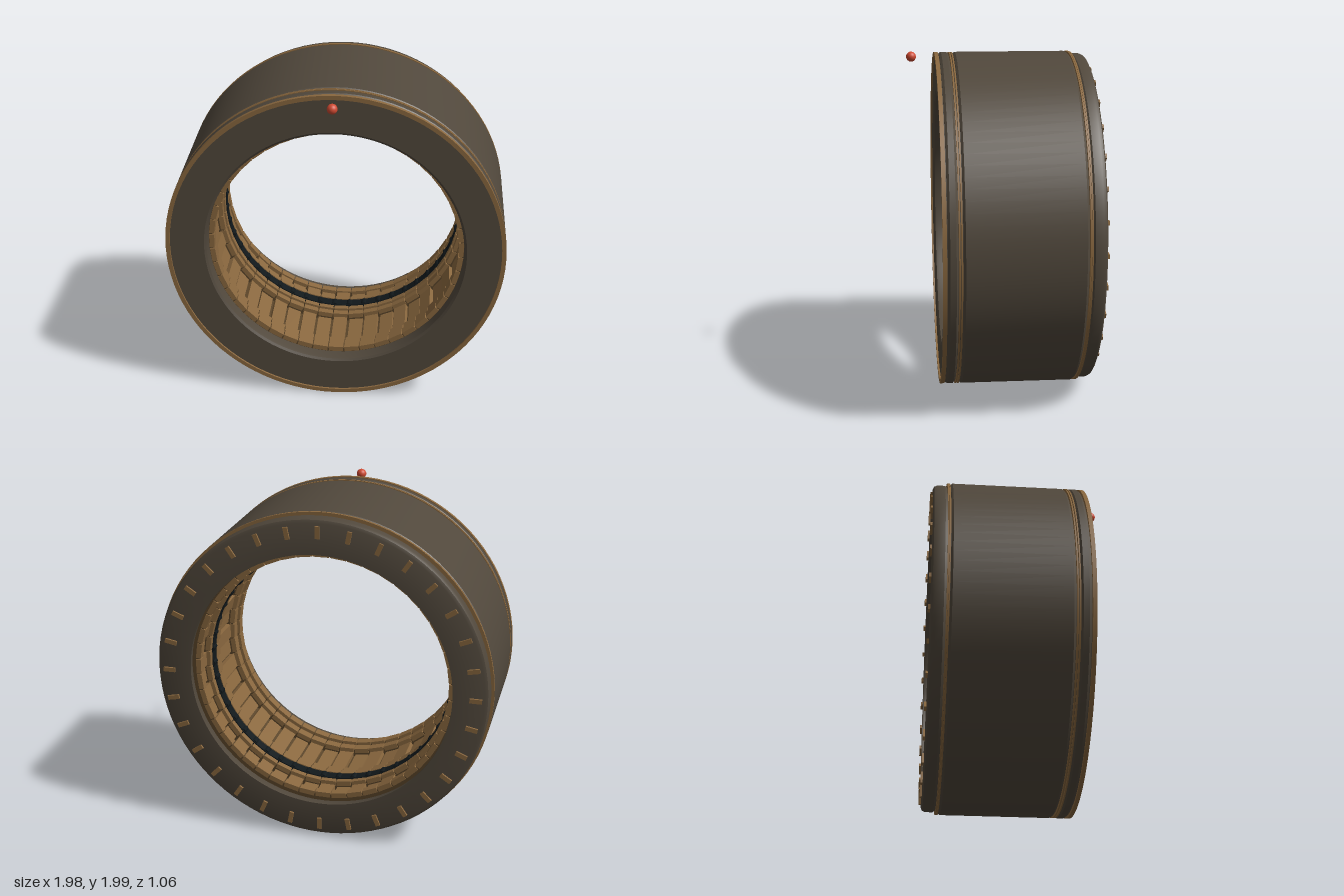
import * as THREE from 'three';
import { mergeGeometries, toCreasedNormals } from 'three/addons/utils/BufferGeometryUtils.js';

const mat = (color) => new THREE.MeshStandardMaterial({ color });
const SIDES = 96;

export function createModel() {
  const model = new THREE.Group();
  const wheel = new THREE.Group();
  wheel.name = 'ringBody';
  wheel.position.y = 1;
  model.add(wheel);

  const shellMat = mat(0x51483c);
  const brassMat = mat(0x8a683f);
  const darkBrassMat = mat(0x594429);
  const blackMat = mat(0x11181b);

  const add = (name, geometry, material) => {
    const mesh = new THREE.Mesh(geometry, material);
    mesh.name = name;
    wheel.add(mesh);
  };

  // Closed [radius, z] profile, outside listed from back to front, spun around z
  const spin = (name, profile, material) => {
    const pts = [...profile, profile[0]].map(([r, z]) => new THREE.Vector2(r, z));
    const g = new THREE.LatheGeometry(pts, SIDES).rotateX(Math.PI / 2);
    add(name, toCreasedNormals(g, 0.5), material);
  };

  // Plain hoop with a rectangular section
  const hoop = (name, rIn, rOut, z0, z1, material) =>
    spin(name, [[rOut, z0], [rOut, z1], [rIn, z1], [rIn, z0]], material);

  // Boxes spread around the axis; fill is the share of each step covered by a box
  const blocks = (name, count, rIn, rOut, z0, z1, width, material, lift = () => 0) => {
    const parts = [];
    for (let i = 0; i < count; i++) {
      const g = new THREE.BoxGeometry(width, rOut - rIn, z1 - z0);
      g.translate(0, (rIn + rOut) / 2 + lift(i), (z0 + z1) / 2);
      parts.push(g.rotateZ((i / count) * Math.PI * 2));
    }
    add(name, mergeGeometries(parts), material);
  };
  const step = (count, r, fill) => ((2 * Math.PI * r) / count) * fill;

  // Outer shell with two grooves and a stepped back rim
  spin('shell', [
    [0.77, -0.52], [0.95, -0.52], [0.967, -0.512], [0.975, -0.495], [0.975, -0.45], [0.965, -0.437],
    [0.965, -0.418], [0.98, -0.418], [0.99, -0.406], [0.99, 0.242], [0.98, 0.254],
    [0.965, 0.254], [0.965, 0.282], [0.98, 0.282], [0.99, 0.292], [0.99, 0.325], [0.98, 0.338],
    [0.97, 0.338], [0.97, 0.354], [0.765, 0.354], [0.752, 0.345], [0.75, 0.33],
    [0.75, 0.27], [0.8, 0.26], [0.8, -0.44], [0.785, -0.45], [0.77, -0.5],
  ], shellMat);

  // Brass trim: front edge and the hoops in the grooves
  hoop('frontEdgeTrim', 0.965, 0.99, 0.342, 0.365, brassMat);
  for (const z of [0.262, 0.275, -0.424, -0.433]) {
    hoop('grooveTrim', 0.95, 0.99, z - 0.004, z + 0.004, brassMat);
  }

  // Radial studs on the back face
  blocks('backStuds', 32, 0.865, 0.935, -0.532, -0.51, 0.026, brassMat);

  // Segmented brass hoops lining the bore: [front z, back z, inner radius]
  const N = 48;
  const liners = [
    [0.27, 0.215, 0.718], [0.2, 0.145, 0.73], [-0.12, -0.16, 0.73],
    [-0.17, -0.205, 0.722], [-0.285, -0.32, 0.722], [-0.4, -0.445, 0.735],
  ];
  for (const [front, back, r] of liners) {
    hoop('linerBase', r + 0.012, 0.8, back + 0.005, front - 0.005, darkBrassMat);
    blocks('linerSegments', N, r, r + 0.03, back, front, step(N, r, 0.94), brassMat);
  }

  // Long planks between the hoops, set at alternating heights
  const stagger = (i) => (i % 2) * 0.014;
  hoop('boreWall', 0.785, 0.802, -0.44, 0.26, darkBrassMat);
  blocks('frontPlanks', N, 0.755, 0.785, -0.12, 0.145, step(N, 0.75, 0.86), brassMat, stagger);
  blocks('backPlanks', N, 0.745, 0.775, -0.4, -0.32, step(N, 0.75, 0.86), brassMat, stagger);

  // Black seal with a row of rounded teeth
  hoop('blackSeal', 0.722, 0.79, -0.275, -0.215, blackMat);
  const teeth = [];
  for (let i = 0; i < N; i++) {
    const g = new THREE.CylinderGeometry(0.022, 0.022, 0.05, 8).rotateX(Math.PI / 2);
    g.translate(0, 0.735, -0.245);
    teeth.push(g.rotateZ(((i + 0.5) / N) * Math.PI * 2));
  }
  add('sealTeeth', mergeGeometries(teeth), blackMat);

  // Small red marker ball floating ahead of the top edge
  const ball = new THREE.Mesh(new THREE.SphereGeometry(0.029, 24, 16), mat(0xd04a32));
  ball.name = 'markerBall';
  ball.position.set(0, 1.971, 0.5);
  model.add(ball);

  return model;
}
